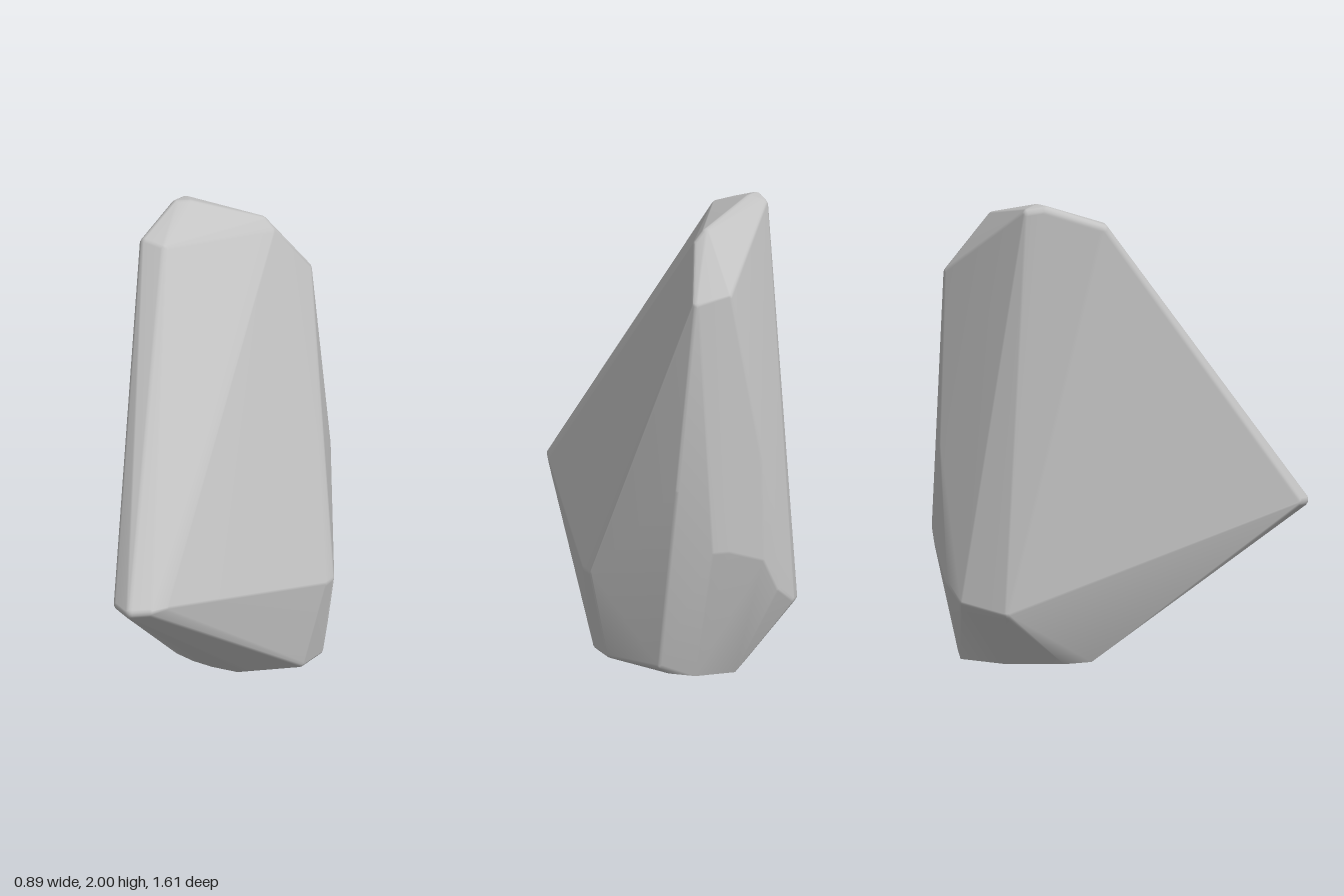
import * as THREE from 'three';
import { ConvexGeometry } from 'three/addons/geometries/ConvexGeometry.js';
import { mergeVertices } from 'three/addons/utils/BufferGeometryUtils.js';

const stone = new THREE.MeshStandardMaterial({ color: 0xc4c4c4 });
stone.name = 'stone grey';

// Corners of the boulder, from the peak down
const corners = [
  // peak
  [-0.33, 2.0, -0.34], [-0.29, 2.0, -0.37], [-0.33, 1.99, -0.41],
  [-0.335, 1.92, -0.09], [-0.25, 1.91, -0.09],
  [-0.03, 1.92, -0.54], [0.01, 1.88, -0.55],
  // upper back
  [-0.05, 1.69, -0.73], [0.085, 1.66, -0.725],
  // middle back
  [0.18, 0.84, -0.75], [-0.19, 0.95, -0.775],
  [-0.03, 0.55, -0.795], [0.04, 0.55, -0.79], [-0.19, 0.5, -0.79],
  // front nose
  [0.06, 0.63, 0.78], [0.13, 0.62, 0.81], [0.19, 0.62, 0.76], [0.215, 0.61, 0.68],
  // right and left shoulders
  [0.435, 0.39, -0.29], [0.43, 0.39, -0.36],
  [-0.435, 0.24, -0.51], [-0.355, 0.28, -0.69], [-0.27, 0.35, -0.745],
  // above the foot
  [0.18, 0.03, -0.08], [0.355, 0.03, -0.23], [0.355, 0.03, -0.38], [0.22, 0.03, -0.64],
];

// Outline of the flat foot: x, z
const foot = [
  [-0.24, -0.25], [-0.2, -0.13], [-0.1, -0.1], [0, -0.09], [0.12, -0.1], [0.19, -0.17],
  [0.23, -0.3], [0.22, -0.46], [0.17, -0.6], [0.08, -0.68], [-0.1, -0.68], [-0.22, -0.5],
];

// Hull of small spheres at the corners, which rounds every edge above the foot
function roundedHull(r) {
  const centre = new THREE.Vector3(0, 0.8, -0.3);
  const ball = new THREE.IcosahedronGeometry(r, 2);
  ball.deleteAttribute('normal');
  ball.deleteAttribute('uv');
  const offsets = mergeVertices(ball).getAttribute('position');

  const points = foot.map(([x, z]) => new THREE.Vector3(x, 0, z));
  for (const c of corners) {
    const p = new THREE.Vector3(...c);
    p.addScaledVector(p.clone().sub(centre).normalize(), -r);
    for (let i = 0; i < offsets.count; i++) {
      const q = new THREE.Vector3().fromBufferAttribute(offsets, i).add(p);
      q.y = Math.max(q.y, 0.005);
      points.push(q);
    }
  }

  // Mark the faces of the foot so that its rim stays sharp when corners merge
  const hull = new ConvexGeometry(points);
  hull.deleteAttribute('normal');
  const pos = hull.getAttribute('position');
  const flat = new Float32Array(pos.count);
  for (let i = 0; i < pos.count; i += 3) {
    const top = Math.max(pos.getY(i), pos.getY(i + 1), pos.getY(i + 2));
    flat.fill(top < 1e-4 ? 1 : 0, i, i + 3);
  }
  hull.setAttribute('flat', new THREE.BufferAttribute(flat, 1));
  const geometry = mergeVertices(hull, 1e-4);
  geometry.deleteAttribute('flat');
  geometry.computeVertexNormals();
  return geometry;
}

export function createModel() {
  const group = new THREE.Group();
  group.name = 'rock';
  const boulder = new THREE.Mesh(roundedHull(0.03), stone);
  boulder.name = 'boulder';
  group.add(boulder);
  return group;
}
